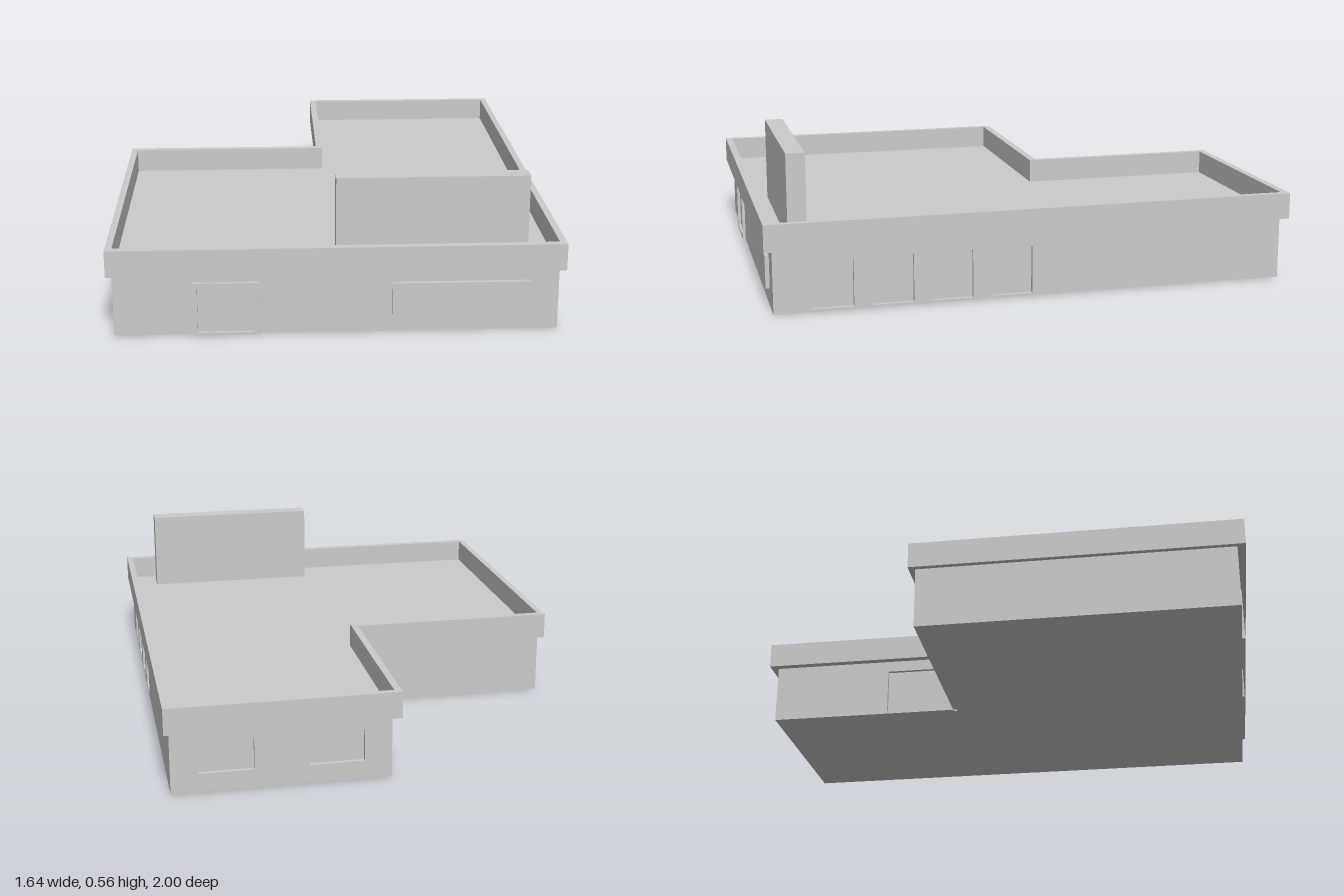
import * as THREE from 'three';

const material = new THREE.MeshStandardMaterial({ color: 0xcccccc, flatShading: true });
const WALL_TOP = 0.235, RECESS = 0.015;

function addMesh(parent, name, geometry) {
  const mesh = new THREE.Mesh(geometry, material);
  mesh.name = name;
  parent.add(mesh);
  return mesh;
}

// Box given by its minimum and maximum corners
function addBox(parent, name, [x0, y0, z0], [x1, y1, z1]) {
  const mesh = addMesh(parent, name, new THREE.BoxGeometry(x1 - x0, y1 - y0, z1 - z0));
  mesh.position.set((x0 + x1) / 2, (y0 + y1) / 2, (z0 + z1) / 2);
}

// L-shaped floor plan: side half-width, front z, back z, and the notch corner
function planPoints(side, front, back, notchX, notchZ) {
  return [[-side, front], [side, front], [side, back], [notchX, back], [notchX, notchZ], [-side, notchZ]]
    .map(([x, z]) => new THREE.Vector2(x, -z));
}

function extrudePlan(outer, y0, y1, inner) {
  const shape = new THREE.Shape(outer);
  if (inner) shape.holes.push(new THREE.Path(inner));
  return new THREE.ExtrudeGeometry(shape, { depth: y1 - y0, bevelEnabled: false })
    .rotateX(-Math.PI / 2).translate(0, y0, 0);
}

function rectPath(PathType, u0, u1, y0, y1) {
  return new PathType([[u0, y0], [u1, y0], [u1, y1], [u0, y1]].map(([u, y]) => new THREE.Vector2(u, y)));
}

// Wall skin running left to right as seen from outside, with openings [u0, u1, y0, y1]
function addWall(parent, name, [ax, az], [bx, bz], openings = []) {
  const shape = rectPath(THREE.Shape, 0, Math.hypot(bx - ax, bz - az), 0, WALL_TOP);
  for (const o of openings) shape.holes.push(rectPath(THREE.Path, ...o));
  const geometry = new THREE.ExtrudeGeometry(shape, { depth: RECESS, bevelEnabled: false });
  geometry.translate(0, 0, -RECESS);
  const wall = addMesh(parent, name, geometry);
  wall.position.set(ax, 0, az);
  wall.rotation.y = Math.atan2(az - bz, bx - ax);
}

export function createModel() {
  const model = new THREE.Group();
  model.name = 'flatRoofBuilding';

  // Core whose faces form the panes at the back of each recess
  const r = RECESS;
  addMesh(model, 'buildingCore',
    extrudePlan(planPoints(0.8 - r, 0.97 - r, -0.97 + r, r, -0.21 + r), 0, WALL_TOP));

  // Outer walls with recessed windows and doors
  const walls = new THREE.Group();
  walls.name = 'walls';
  model.add(walls);
  const sideWindows = [0.83, 0.61, 0.39, 0.165].map(z => [0.97 - z, 1.12 - z, 0.01, 0.19]);
  const backWindows = [0.7, 0.3].map(x => [0.8 - x, 1.0 - x, 0.07, 0.19]);
  addWall(walls, 'frontWall', [-0.8, 0.97], [0.8, 0.97]);
  addWall(walls, 'windowedSideWall', [0.8, 0.97], [0.8, -0.97], sideWindows);
  addWall(walls, 'backWall', [0.8, -0.97], [0, -0.97], backWindows);
  addWall(walls, 'wingWallWithDoor', [0, -0.97], [0, -0.21], [[0.48, 0.69, 0.01, 0.19]]);
  addWall(walls, 'innerBackWall', [0, -0.21], [-0.8, -0.21]);
  addWall(walls, 'plainSideWall', [-0.8, -0.21], [-0.8, 0.97]);

  // Roof and the overhanging parapet around it
  const inner = planPoints(0.795, 0.972, -0.973, -0.004, -0.206);
  addMesh(model, 'roof', extrudePlan(inner, WALL_TOP, 0.243));
  addMesh(model, 'parapet',
    extrudePlan(planPoints(0.82, 1, -1, -0.03, -0.235), WALL_TOP, 0.335, inner));

  // Upright board on the roof
  addBox(model, 'roofBoard', [0, 0.24, 0.83], [0.695, 0.56, 0.9]);

  // Front door frame and the raised front window
  const frame = rectPath(THREE.Shape, -0.52, -0.28, 0, 0.2);
  frame.holes.push(rectPath(THREE.Path, -0.5, -0.3, 0.01, 0.193));
  addMesh(model, 'frontDoorFrame',
    new THREE.ExtrudeGeometry(frame, { depth: 0.015, bevelEnabled: false })).position.z = 0.967;
  addBox(model, 'frontWindow', [0.2, 0.068, 0.96], [0.695, 0.19, 0.985]);

  return model;
}
